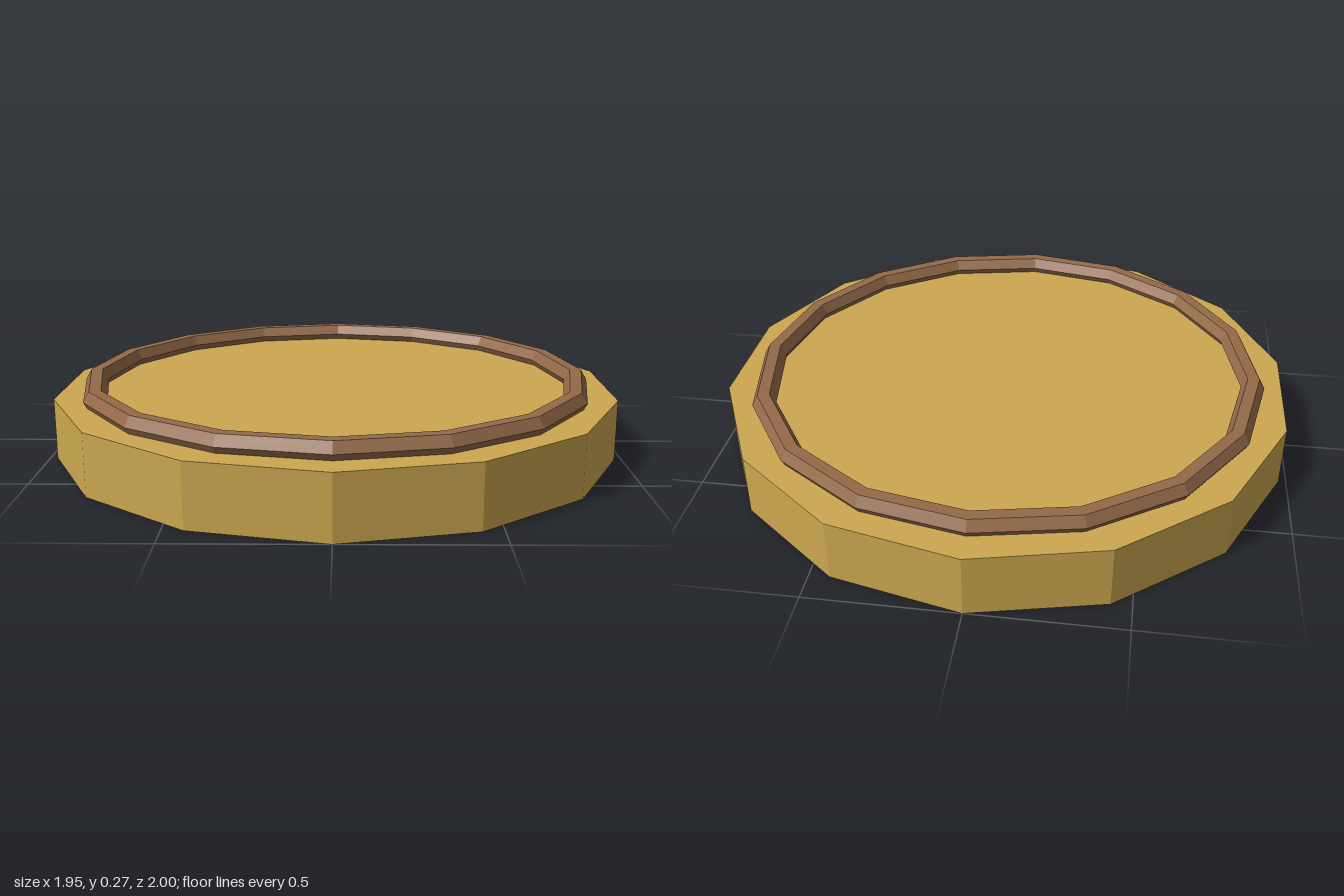
import * as THREE from 'three';

export function createModel() {
  const model = new THREE.Group();
  model.name = 'roundPlinth';

  const gold = new THREE.MeshStandardMaterial({ name: 'gold', color: 0xcca750, flatShading: true });
  const brown = new THREE.MeshStandardMaterial({ name: 'brown', color: 0x946a49, flatShading: true });

  // Fourteen-sided disc with a corner pointing to the front
  const baseHeight = 0.213;
  const base = new THREE.Mesh(new THREE.CylinderGeometry(1, 1, baseHeight, 14), gold);
  base.name = 'base';
  base.position.y = baseHeight / 2;

  // Sixteen-sided rim with a hexagonal section, sunk slightly into the disc
  const rim = new THREE.Mesh(new THREE.TorusGeometry(0.87, 0.041, 6, 16).rotateX(Math.PI / 2), brown);
  rim.name = 'rim';
  rim.position.y = 0.235;

  model.add(base, rim);
  return model;
}
